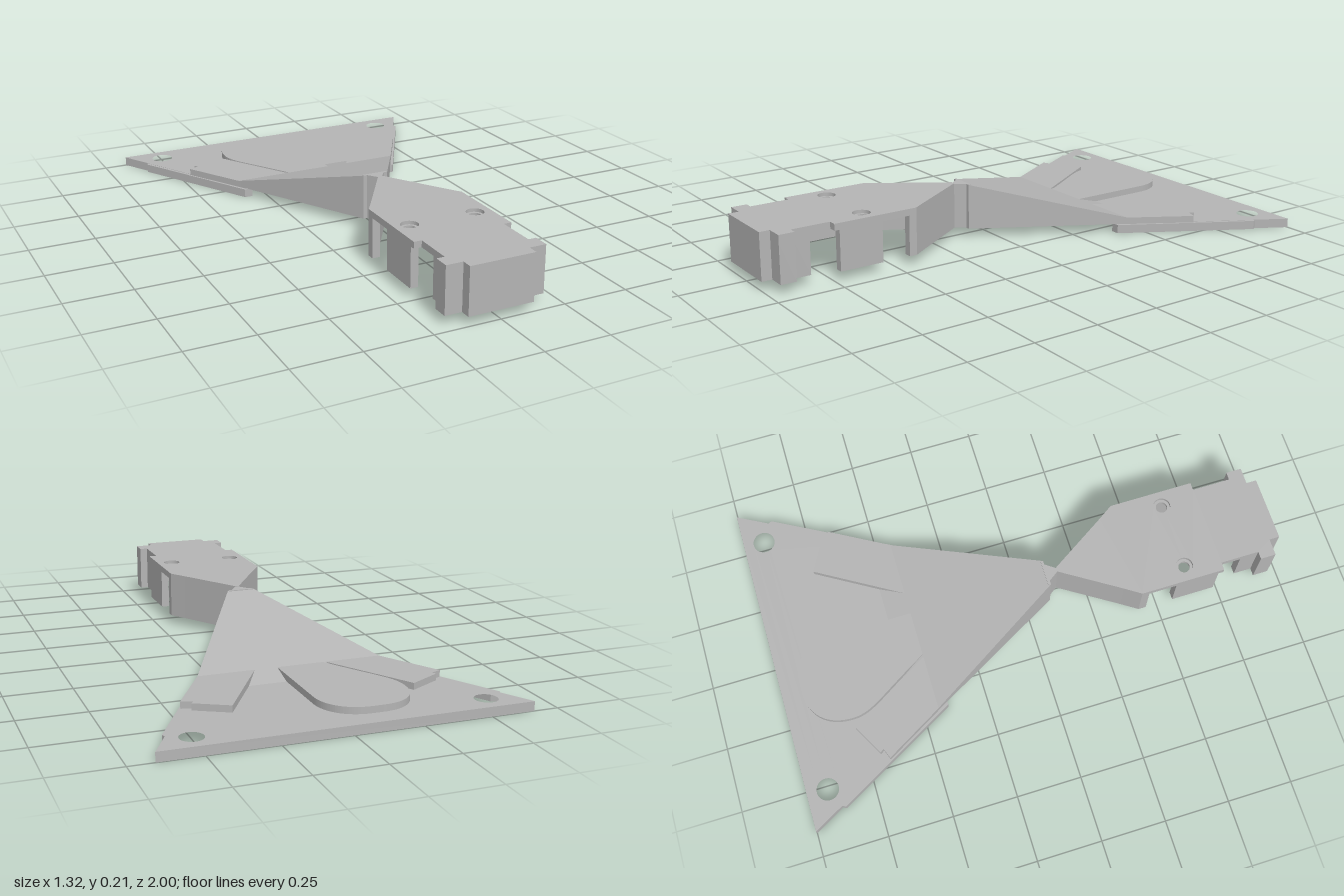
import * as THREE from 'three';

const grey = new THREE.MeshStandardMaterial({ color: 0xb4b4b4 });
grey.name = 'plain grey';

const SLOPE = 0.277, RAMP_END = -0.53;
const halfWidth = (z) => 0.05 + (0.61 * (0.1 - z)) / 1.1;
const rampTop = (z) => 0.035 + (z - RAMP_END) * SLOPE;
const mirror = (pts) => pts.map(([x, z]) => [-x, z]);
// closes a half outline drawn on +x with its mirror image
const both = (pts) => [...pts, ...mirror(pts).reverse()];
const outline = (pts) => new THREE.Shape(pts.map(([x, z]) => new THREE.Vector2(x, z)));

// adds round holes to a plan shape
function drill(shape, holes, r) {
  for (const [x, z] of holes) {
    const p = new THREE.Path();
    p.absarc(x, z, r, 0, Math.PI * 2, true);
    shape.holes.push(p);
  }
  return shape;
}

// extrudes a plan shape (x, z) between two heights
function slab(shape, bottom, top) {
  const geo = new THREE.ExtrudeGeometry(shape, {
    depth: top - bottom, bevelEnabled: false, curveSegments: 24,
  });
  geo.rotateX(Math.PI / 2);
  geo.translate(0, top, 0);
  return geo;
}

// moves each vertex to a height given by a rule
function reshape(geo, rule) {
  const p = geo.attributes.position;
  for (let i = 0; i < p.count; i++) p.setY(i, rule(p.getY(i), p.getZ(i)));
  geo.computeVertexNormals();
  return geo;
}

export function createModel() {
  const model = new THREE.Group();
  model.name = 'model';
  const add = (name, geo) => {
    const m = new THREE.Mesh(geo, grey);
    m.name = name;
    model.add(m);
  };
  const addPair = (name, pts, build) => {
    add(name + 'Left', build(pts));
    add(name + 'Right', build(mirror(pts)));
  };

  // flat rear plate with two corner holes
  const plate = outline(both([[halfWidth(RAMP_END), RAMP_END], [0.66, -1]]));
  add('rearPlate', slab(drill(plate, [[0.52, -0.92], [-0.52, -0.92]], 0.042), 0, 0.035));

  // sloping roof of the ramp
  const roof = outline(both([[0.05, 0.1], [halfWidth(RAMP_END), RAMP_END]]));
  add('rampRoof', reshape(slab(roof, 0, 0.035), (y, z) => y + (z - RAMP_END) * SLOPE));

  // tapering side walls under the ramp
  const wall = [[0.05, 0.1], [halfWidth(-0.4), -0.4], [halfWidth(-0.4) - 0.03, -0.4], [0.02, 0.1]];
  addPair('rampWall', wall, (pts) =>
    reshape(slab(outline(pts), 0, 1), (y, z) => (y > 0.5 ? rampTop(z) - 0.001 : 0.035)));

  // thin strips along the plate edges
  const strip = [
    [halfWidth(-0.4) - 0.02, -0.4], [halfWidth(-0.4) + 0.012, -0.4],
    [halfWidth(-0.87) + 0.014, -0.87], [halfWidth(-0.885), -0.885], [halfWidth(-0.87) - 0.02, -0.87],
  ];
  addPair('edgeStrip', strip, (pts) => slab(outline(pts), 0.001, 0.034));

  // raised diagonal bars
  const bar = [
    [0.13, -0.43], [0.33, -0.76], [0.45, -0.695], [0.44, -0.68],
    [0.48, -0.665], [halfWidth(-0.43), -0.43],
  ];
  addPair('raisedBar', bar, (pts) => slab(outline(pts), 0.03, 0.06));

  // plain raised pad with a rounded end
  const pad = new THREE.Shape();
  pad.moveTo(0.05, -0.43);
  pad.lineTo(0.05, -0.77);
  pad.bezierCurveTo(0.05, -0.86, -0.01, -0.92, -0.1, -0.92);
  pad.lineTo(-0.14, -0.92);
  pad.bezierCurveTo(-0.23, -0.92, -0.29, -0.86, -0.29, -0.76);
  pad.bezierCurveTo(-0.29, -0.68, -0.24, -0.64, -0.12, -0.43);
  add('raisedPad', slab(pad, 0.03, 0.06));

  // narrow neck joining ramp and head
  add('neck', slab(outline(both([[0.05, 0.09], [0.05, 0.1], [0.035, 0.1], [0.008, 0.138], [0.02, 0.16]])), 0.035, 0.21));

  // head roof in two layers, so the two holes are counterbored
  const head = both([
    [0.008, 0.138], [0.15, 0.36], [0.19, 0.42], [0.19, 0.75], [0.16, 0.75],
    [0.16, 0.9], [0.19, 0.9], [0.19, 0.96], [0.125, 0.96], [0.125, 1],
  ]);
  const screws = [[0.13, 0.61], [-0.13, 0.61]];
  add('headRoof', slab(drill(outline(head), screws, 0.033), 0.2, 0.213));
  add('headRoofLower', slab(drill(outline(head), screws, 0.022), 0.188, 0.2));

  // head walls, with gaps left between them at the sides
  const walls = {
    headRearWall: [
      [0.008, 0.138], [0.15, 0.36], [0.19, 0.42], [0.19, 0.45], [0.16, 0.45],
      [0.16, 0.43], [0.125, 0.375], [0, 0.18], [0, 0.138],
    ],
    headSideWall: [[0.16, 0.56], [0.19, 0.56], [0.19, 0.73], [0.16, 0.73]],
    headFrontWall: [
      [0.16, 0.83], [0.16, 0.9], [0.19, 0.9], [0.19, 0.96], [0.125, 0.96], [0.125, 1],
      [0, 1], [0, 0.97], [0.095, 0.97], [0.095, 0.93], [0.13, 0.93], [0.13, 0.83],
    ],
  };
  for (const [name, pts] of Object.entries(walls)) {
    addPair(name, pts, (p) => slab(outline(p), 0.035, 0.19));
  }
  return model;
}
